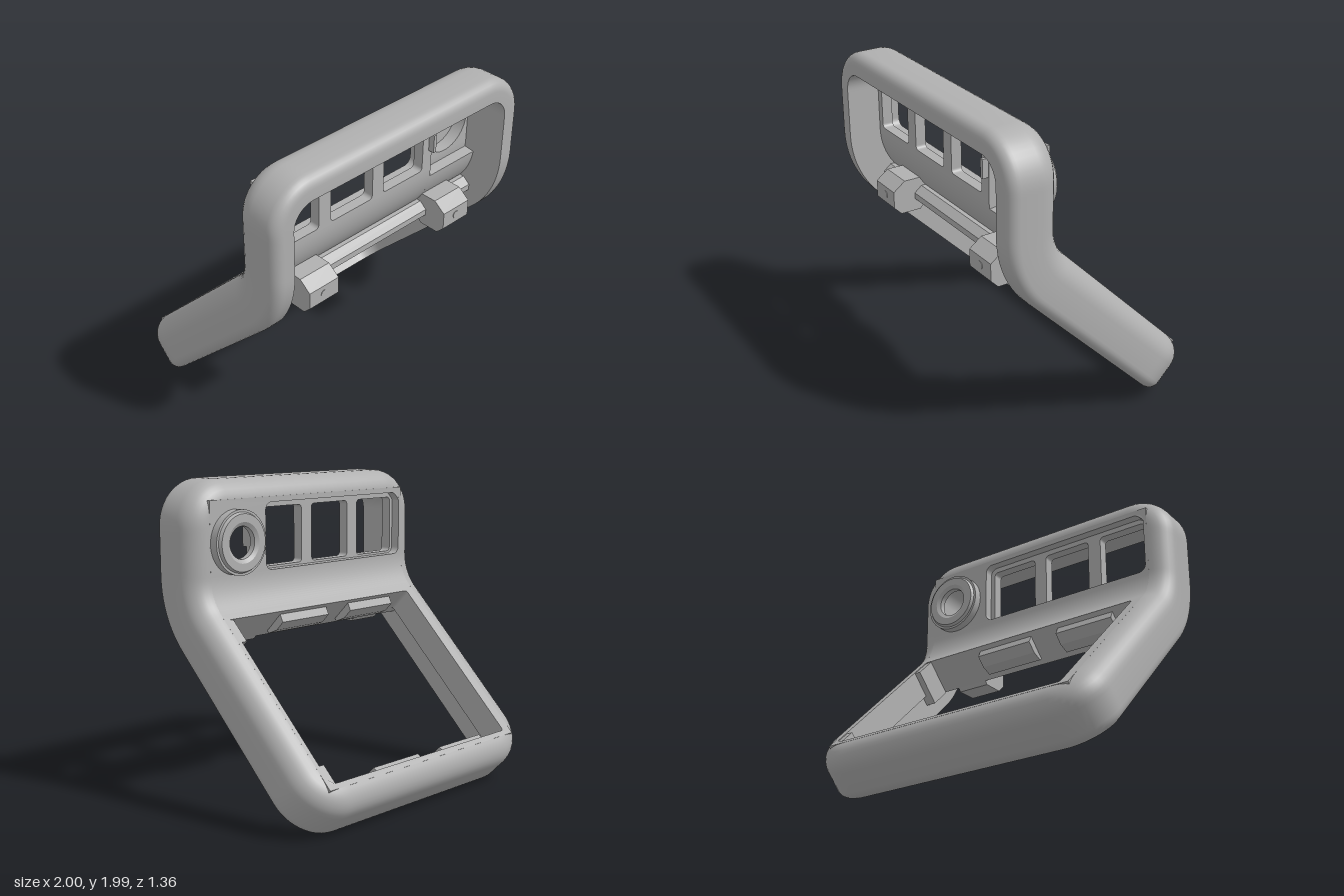
import * as THREE from 'three';
import { toCreasedNormals } from 'three/addons/utils/BufferGeometryUtils.js';

// Bent sheet: vertical above YC, a 45 degree arc, then a straight slope
const YC = 1.409, ZB = 0.335, RI = 0.3, T = 0.345, RREF = 0.47;
const ARC = RREF * Math.PI / 4, LOW = 1.39, TOP = 0.58, H = Math.SQRT1_2;
const ZC = ZB - RI;
const KNEE = { y: YC - RI * H, z: ZC + RI * H };

// s runs along the sheet, w is the depth from its back face
function bend(x, s, w) {
  if (s >= 0) return [x, YC + s, ZB + w];
  if (s > -ARC) {
    const a = -s / RREF;
    return [x, YC - (RI + w) * Math.sin(a), ZC + (RI + w) * Math.cos(a)];
  }
  const t = s + ARC;
  return [x, KNEE.y + (t - w) * H, KNEE.z + (t + w) * H];
}

// Rounded rim swept round the outline, then bent
function rimGeometry() {
  const R = 0.28, wall = 0.14, rb = 0.14, rf = 0.07;
  const section = [];
  for (let i = 0; i <= 8; i++) {
    const a = i / 8 * Math.PI / 2;
    section.push([rb - rb * Math.sin(a), rb - rb * Math.cos(a)]);
  }
  for (let i = 0; i <= 6; i++) {
    const a = i / 6 * Math.PI / 2;
    section.push([rf - rf * Math.cos(a), T - rf + rf * Math.sin(a)]);
  }
  section.push([wall, T]);

  const x = 1 - R, hi = TOP - R, lo = -ARC - LOW + R;
  const corners = [[x, hi], [-x, hi], [-x, lo], [x, lo]];
  const path = [];
  corners.forEach(([cx, cy], k) => {
    for (let i = 0; i <= 12; i++) path.push([cx, cy, (k + i / 12) * Math.PI / 2]);
    const [nx, ny] = corners[(k + 1) % 4];
    const n = k % 2 ? 60 : 6;
    for (let i = 1; i < n; i++) {
      path.push([cx + (nx - cx) * i / n, cy + (ny - cy) * i / n, (k + 1) * Math.PI / 2]);
    }
  });

  const pos = [], index = [], m = section.length, n = path.length;
  for (const [cx, cy, a] of path) {
    for (const [d, w] of section) {
      pos.push(...bend(cx + (R - d) * Math.cos(a), cy + (R - d) * Math.sin(a), w));
    }
  }
  for (let i = 0; i < n; i++) {
    for (let j = 0; j < m; j++) {
      const i2 = (i + 1) % n, j2 = (j + 1) % m;
      const a = i * m + j, b = i2 * m + j, c = i2 * m + j2, d = i * m + j2;
      index.push(a, b, c, a, c, d);
    }
  }
  const g = new THREE.BufferGeometry();
  g.setAttribute('position', new THREE.Float32BufferAttribute(pos, 3));
  g.setIndex(index);
  return toCreasedNormals(g, 0.6);
}

function roundRect(x0, y0, x1, y1, r, target = new THREE.Shape()) {
  target.moveTo(x0 + r, y0);
  target.lineTo(x1 - r, y0);
  target.absarc(x1 - r, y0 + r, r, -Math.PI / 2, 0);
  target.lineTo(x1, y1 - r);
  target.absarc(x1 - r, y1 - r, r, 0, Math.PI / 2);
  target.lineTo(x0 + r, y1);
  target.absarc(x0 + r, y1 - r, r, Math.PI / 2, Math.PI);
  target.lineTo(x0, y0 + r);
  target.absarc(x0 + r, y0 + r, r, Math.PI, Math.PI * 1.5);
  return target;
}

const rect = (x0, y0, x1, y1) => new THREE.Shape([[x0, y0], [x1, y0], [x1, y1], [x0, y1]]
  .map(p => new THREE.Vector2(...p)));

function slab(shape, depth) {
  return new THREE.ExtrudeGeometry(shape, { depth, bevelEnabled: false, curveSegments: 24 });
}

// Prism along x from a [z, y] profile
function prism(profile, x0, x1) {
  const shape = new THREE.Shape(profile.map(([z, y]) => new THREE.Vector2(-z, y)));
  const g = slab(shape, x1 - x0);
  g.rotateY(Math.PI / 2);
  g.translate(x0, 0, 0);
  return toCreasedNormals(g, 0.4);
}

// Curved plate through the bend, starting at angle a0
function bendPlate(x0, x1, w0, w1, a0) {
  const back = [], front = [];
  for (let i = 0; i <= 16; i++) {
    const a = a0 + (Math.PI / 4 - a0) * i / 16;
    const at = w => [ZC + (RI + w) * Math.cos(a), YC - (RI + w) * Math.sin(a)];
    back.push(at(w0));
    front.push(at(w1));
  }
  return prism([...back, ...front.reverse()], x0, x1);
}

export function createModel() {
  const model = new THREE.Group();
  const grey = new THREE.MeshStandardMaterial({ color: 0xb0b0b0 });
  grey.name = 'grey plastic';
  const add = (name, geometry, parent = model) => {
    const mesh = new THREE.Mesh(geometry, grey);
    mesh.name = name;
    parent.add(mesh);
    return mesh;
  };

  add('rim', rimGeometry());

  // Upper panel: recessed back layer and front layer with three windows
  const backLayer = rect(-0.862, YC, 0.862, 1.87);
  backLayer.holes.push(roundRect(-0.84, 1.415, 0.41, 1.835, 0.05, new THREE.Path()));
  backLayer.holes.push(new THREE.Path().absarc(0.66, 1.61, 0.19, 0, Math.PI * 2));
  add('panelBack', slab(backLayer, 0.06)).position.z = ZB;

  const frontLayer = rect(-0.862, YC, 0.455, 1.87);
  for (const x of [-0.815, -0.385, 0.042]) {
    frontLayer.holes.push(roundRect(x, 1.43, x + 0.335, 1.8, 0.025, new THREE.Path()));
  }
  add('windowPanel', slab(frontLayer, 0.07)).position.z = ZB + 0.06;

  // Curved panel below the windows, lower in front under the button pocket
  add('bendBack', bendPlate(-0.862, 0.862, 0, 0.06, 0));
  add('bendFront', bendPlate(-0.862, 0.455, 0.06, 0.13, 0));
  add('bendFrontPocket', bendPlate(0.455, 0.862, 0.06, 0.13, 0.12));

  // Button collar standing out at the back
  const collar = new THREE.LatheGeometry([
    [0.185, -0.06], [0.2, -0.06], [0.2, 0.055], [0.185, 0.055], [0.175, 0.075], [0.125, 0.075],
    [0.1, 0.06], [0.1, 0.02], [0.185, 0.02], [0.185, -0.06],
  ].map(p => new THREE.Vector2(...p)), 48);
  collar.rotateX(-Math.PI / 2);
  add('buttonCollar', toCreasedNormals(collar, 0.4)).position.set(0.66, 1.61, ZB);
  add('pocketCatch', new THREE.BoxGeometry(0.022, 0.12, 0.05)).position.set(0.439, 1.615, 0.48);

  // Crossbar with two hinge blocks
  add('crossbar', prism([[0.3, 1.14], [0.27, 1.12], [0.39, 1.0], [0.45, 1.06],
    [0.45, 1.1], [0.4, 1.14]], -0.86, 0.86));
  for (const x of [-0.565, 0.565]) {
    add('hingeBlock', prism([[0.33, 1.2], [0.33, 1.08], [0.41, 0.98], [0.55, 0.98],
      [0.6, 1.03], [0.6, 1.14], [0.52, 1.2]], x - 0.113, x + 0.113));
    const pin = new THREE.CylinderGeometry(0.025, 0.025, 0.01, 20);
    pin.rotateX(Math.PI / 2);
    add('hingePin', pin).position.set(x, 1.085, 0.598);
  }

  // Sloping lower half, built flat and tilted
  const lower = new THREE.Group();
  lower.name = 'lowerFrame';
  lower.position.set(0, KNEE.y, KNEE.z);
  lower.rotation.x = Math.PI / 4;
  model.add(lower);

  const lip = rect(-0.862, -1.26, 0.862, 0);
  lip.holes.push(roundRect(-0.795, -1.225, 0.832, -0.04, 0.02, new THREE.Path()));
  add('openingLip', slab(lip, 0.18), lower);

  // Wedge tabs on the two long edges
  for (const x of [-0.64, -0.025]) {
    add('lowerTab', prism([[0.05, -1.24], [0.22, -1.24], [0.21, -1.2], [0.17, -1.178],
      [0.067, -1.178]], x, x + 0.41), lower);
    add('upperTab', prism([[0.03, -0.03], [0.05, -0.09], [0.13, -0.09], [0.2, -0.06],
      [0.2, -0.03]], x, x + 0.41), lower);
  }

  // Side clips at the corners of the opening
  add('upperClip', new THREE.BoxGeometry(0.07, 0.17, 0.24), lower).position.set(0.825, -0.12, 0.125);
  add('lowerClip', new THREE.BoxGeometry(0.07, 0.13, 0.14), lower).position.set(0.825, -1.16, 0.075);

  return model;
}
